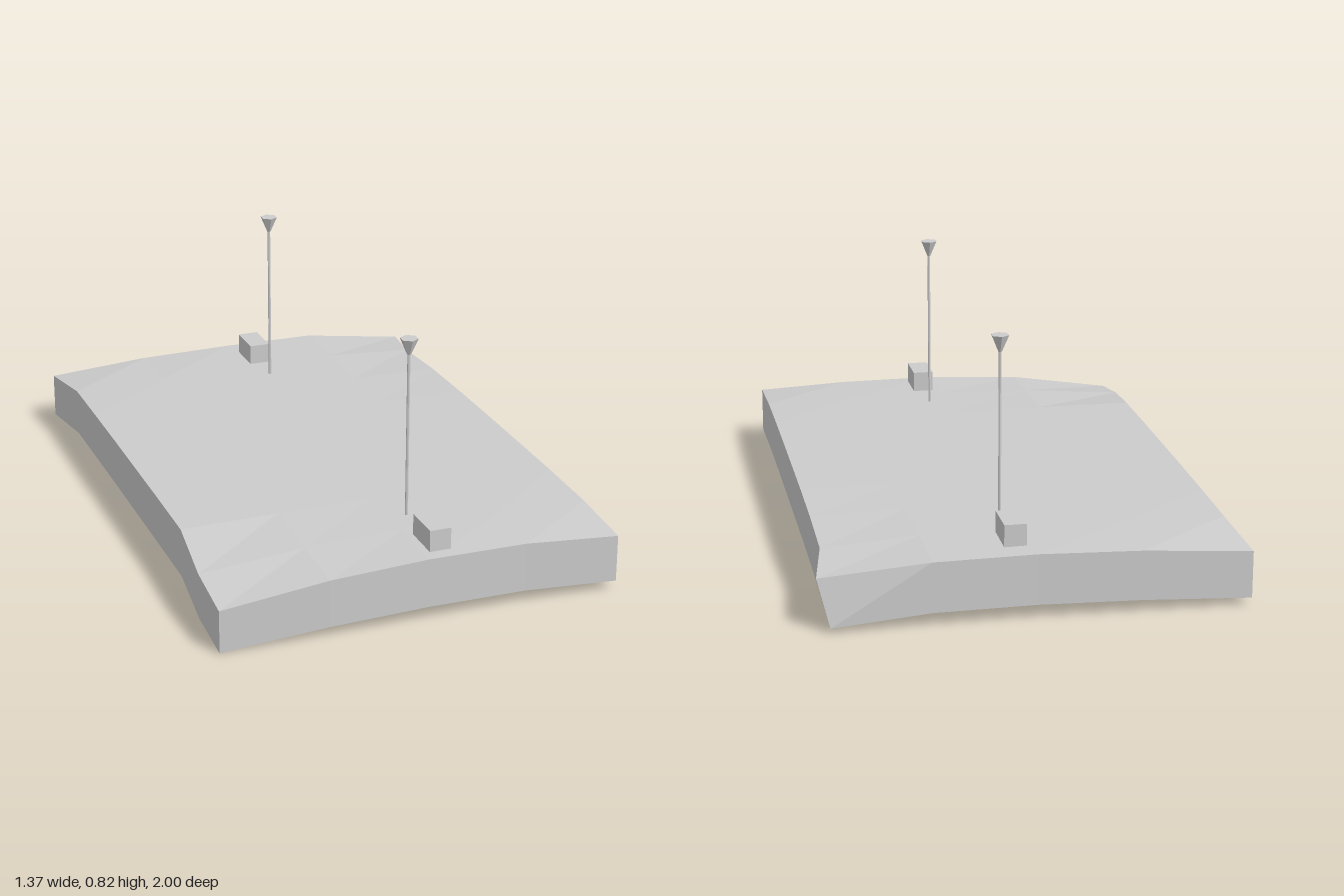
import * as THREE from 'three';

const material = new THREE.MeshStandardMaterial({ color: 0xcccccc, flatShading: true, side: THREE.DoubleSide });

// Sag of the slab in thousandths: rows run back to front, columns from -x to +x
const SAG = [
  [35, 10, 2, 5, 45],
  [5, 2, 0, 2, 22],
  [2, 0, 0, 0, 6],
  [0, 0, 0, 0, 1],
  [0, 0, 0, 0, 0],
  [0, 0, 0, 0, 0],
  [2, 0, 0, 0, 1],
  [38, 8, 1, 1, 6],
  [70, 20, 3, 5, 24],
];
const COLUMN_X = [-0.66, -0.33, 0, 0.33, 0.645];
const BACK_Z = [-1, -0.995, -0.985, -0.985, -0.985];
const FRONT_Z = [0.95, 0.97, 0.975, 0.978, 0.995];

function addMesh(parent, name, geometry, x, y, z) {
  const mesh = new THREE.Mesh(geometry, material);
  mesh.name = name;
  mesh.position.set(x, y, z);
  parent.add(mesh);
  return mesh;
}

// Gently warped slab with drooping corners
function slabGeometry() {
  const geometry = new THREE.BoxGeometry(4, 1, 8, 4, 1, 8);
  const p = geometry.attributes.position;
  for (let i = 0; i < p.count; i++) {
    const col = Math.round(p.getX(i) + 2);
    const row = Math.round(p.getZ(i) + 4);
    const top = p.getY(i) > 0;
    const sag = SAG[row][col] / 1000;
    let x = COLUMN_X[col];
    let z = (row - 4) * 0.25;
    if (row === 0) z = BACK_Z[col];
    if (row === 8) z = FRONT_Z[col];
    // corners flare outward
    if (col === 0 && (row === 0 || row >= 7)) x = -0.683;
    if (col === 4 && row === 0 && top) {
      x = 0.682;
      z = -0.95;
    }
    p.setXYZ(i, x, top ? 0.22 - sag : 0.053 - sag * 0.67, z);
  }
  geometry.computeVertexNormals();
  return geometry;
}

export function createModel() {
  const model = new THREE.Group();
  model.name = 'warpedPlatform';

  addMesh(model, 'slab', slabGeometry(), 0, 0, 0);

  // One mast and one block near each end
  for (const [end, mastZ, blockZ] of [['front', 0.655, 0.862], ['back', -0.655, -0.838]]) {
    const mast = new THREE.Group();
    mast.name = end + 'Mast';
    mast.position.set(0.055, 0, mastZ);
    addMesh(mast, 'pole', new THREE.CylinderGeometry(0.005, 0.005, 0.57, 6), 0, 0.495, 0);
    addMesh(mast, 'flaredCap', new THREE.CylinderGeometry(0.03, 0.006, 0.055, 6), 0, 0.802, 0);
    model.add(mast);

    addMesh(model, end + 'Block', new THREE.BoxGeometry(0.072, 0.08, 0.134), 0.055, 0.25, blockZ);
  }
  return model;
}
